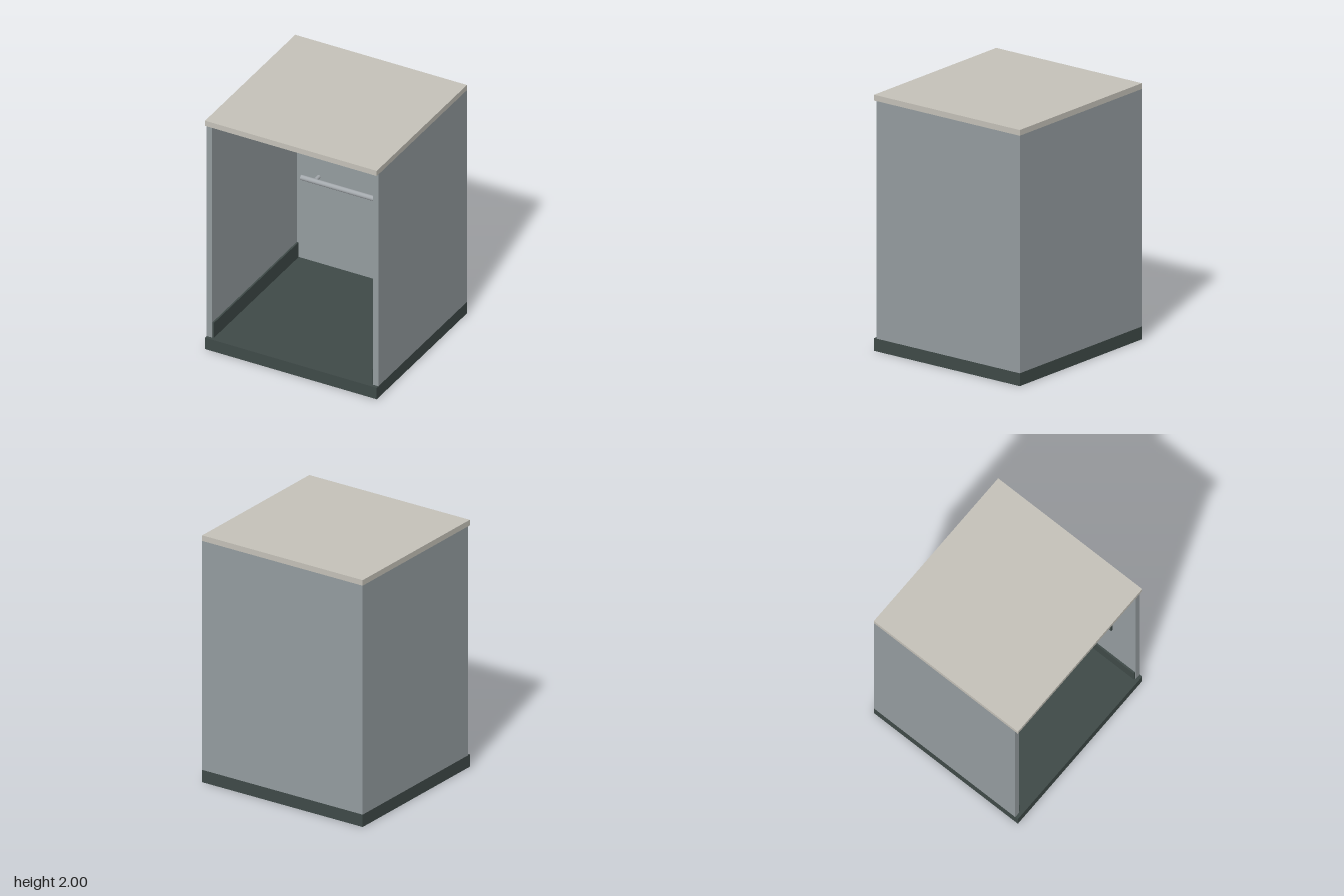
import * as THREE from 'three';

function mat(name, color) {
  const m = new THREE.MeshStandardMaterial({ color });
  m.name = name;
  return m;
}

export function createModel() {
  const wall = mat('wall grey', 0x959da0);
  const dark = mat('dark trim', 0x3f4a48);
  const roof = mat('roof cream', 0xc5c2b9);
  const metal = mat('rail metal', 0xa3a8ac);
  const button = mat('button grey', 0x5f686a);
  const light = mat('light cream', 0xd8d6cc);

  const cabin = new THREE.Group();
  cabin.name = 'liftCabin';

  const add = (name, geometry, material, x, y, z) => {
    const mesh = new THREE.Mesh(geometry, material);
    mesh.name = name;
    mesh.position.set(x, y, z);
    cabin.add(mesh);
    return mesh;
  };
  // box given by its extents on each axis
  const box = (name, material, [x0, x1], [y0, y1], [z0, z1]) =>
    add(name, new THREE.BoxGeometry(x1 - x0, y1 - y0, z1 - z0), material,
      (x0 + x1) / 2, (y0 + y1) / 2, (z0 + z1) / 2);

  // shell
  box('floor', dark, [-0.73, 0.73], [0, 0.1], [-0.692, 0.692]);
  box('roof', roof, [-0.73, 0.73], [1.955, 2], [-0.692, 0.692]);
  box('backWall', wall, [-0.685, 0.685], [0.1, 1.955], [-0.692, -0.64]);

  // mirrored parts
  for (const [side, s] of [['left', 1], ['right', -1]]) {
    const span = (a, b) => (s > 0 ? [a, b] : [-b, -a]);
    box(side + 'Wall', wall, span(0.685, 0.73), [0.1, 1.955], [-0.692, 0.667]);
    box(side + 'KickPlate', dark, span(0.671, 0.685), [0.1, 0.23], [-0.635, 0.66]);
    box(side + 'CeilingLight', light, span(0.24, 0.49), [1.945, 1.955], [-0.35, 0.35]);
    const bracket = add(side + 'RailBracket',
      new THREE.CylinderGeometry(0.015, 0.015, 0.075, 16), metal, s * 0.5, 0.855, -0.605);
    bracket.rotation.x = Math.PI / 2;
  }

  // handrail along the back wall
  const rail = add('handrail', new THREE.CylinderGeometry(0.02, 0.02, 1.22, 24),
    metal, 0, 0.855, -0.568);
  rail.rotation.z = Math.PI / 2;

  // control panel on the left wall
  box('panelMount', wall, [0.676, 0.685], [0.83, 1.195], [0.27, 0.43]);
  box('controlPanel', dark, [0.661, 0.676], [0.81, 1.215], [0.25, 0.45]);
  for (let i = 0; i < 4; i++) {
    const b = add('panelButton', new THREE.CylinderGeometry(0.019, 0.019, 0.012, 20),
      button, 0.655, 0.882 + i * 0.081, 0.35);
    b.rotation.z = Math.PI / 2;
  }

  return cabin;
}
